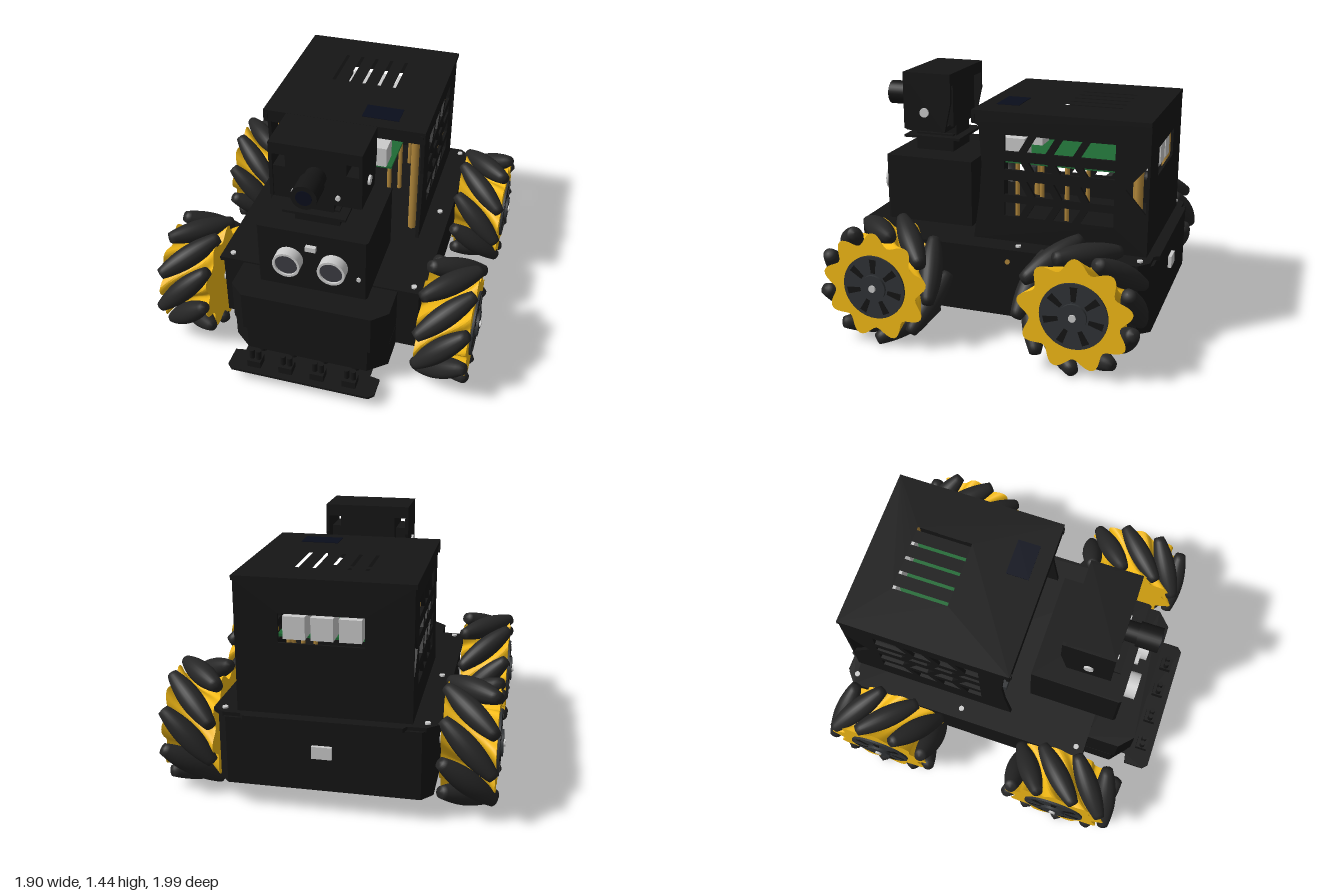
import * as THREE from 'three';
import { toCreasedNormals } from 'three/addons/utils/BufferGeometryUtils.js';

const mat = (color) => new THREE.MeshStandardMaterial({ color });
const black = mat(0x151515), rubber = mat(0x262626), hubGrey = mat(0x303336), yellow = mat(0xf5bb16);
const brass = mat(0xb0863a), green = mat(0x1f6b35), grey = mat(0xcccccc), glass = mat(0x3c3c42), navy = mat(0x0a0e1c);

function add(parent, name, geometry, material, x = 0, y = 0, z = 0) {
  const mesh = new THREE.Mesh(geometry, material);
  mesh.name = name;
  mesh.position.set(x, y, z);
  parent.add(mesh);
  return mesh;
}

// box given by its limits on each axis
function box(parent, name, material, [x0, x1], [y0, y1], [z0, z1]) {
  return add(parent, name, new THREE.BoxGeometry(x1 - x0, y1 - y0, z1 - z0), material,
    (x0 + x1) / 2, (y0 + y1) / 2, (z0 + z1) / 2);
}

// cylinder along 'x', 'y' or 'z', centred on the given point
function rod(parent, name, material, axis, r, length, x, y, z, sides = 32) {
  const g = new THREE.CylinderGeometry(r, r, length, sides);
  if (axis === 'x') g.rotateZ(Math.PI / 2);
  if (axis === 'z') g.rotateX(Math.PI / 2);
  return add(parent, name, g, material, x, y, z);
}

const outline = (pts) => new THREE.Shape(pts.map(([a, b]) => new THREE.Vector2(a, b)));
const hole = (pts) => new THREE.Path(pts.map(([a, b]) => new THREE.Vector2(a, b)));
const rect = (a0, a1, b0, b1) => [[a0, b0], [a1, b0], [a1, b1], [a0, b1]];

// extrude a (x, z) outline upward from y
function slab(parent, name, material, pts, y, height, holes = []) {
  const flip = (p) => p.map(([x, z]) => [x, -z]);
  const s = outline(flip(pts));
  s.holes = holes.map((h) => hole(flip(h)));
  const g = new THREE.ExtrudeGeometry(s, { depth: height, bevelEnabled: false }).rotateX(-Math.PI / 2);
  return add(parent, name, g, material, 0, y, 0);
}

// extrude a (z, y) outline sideways from x
function sidePlate(parent, name, material, pts, x, width, holes = []) {
  const flip = (p) => p.map(([z, y]) => [-z, y]);
  const s = outline(flip(pts));
  s.holes = holes.map((h) => hole(flip(h)));
  const g = new THREE.ExtrudeGeometry(s, { depth: width, bevelEnabled: false }).rotateY(Math.PI / 2);
  return add(parent, name, g, material, x, 0, 0);
}

// mirror half an outline across x = 0
const mirrored = (half) => [...half, ...half.map(([x, z]) => [-x, z]).reverse()];

// wheel with nine slanted rollers; hand = 1 or -1 sets the slant
function createWheel(hand) {
  const wheel = new THREE.Group();
  const count = 9, axisR = 0.29, outerR = 0.355, half = 0.145;

  // lobed rim, twisted between the rollers and narrowed at the waist
  const star = [];
  for (let i = 0; i < 108; i++) {
    const a = (i / 108) * Math.PI * 2;
    const r = 0.283 + 0.034 * Math.cos(count * (a - Math.PI / 2));
    star.push([r * Math.cos(a), r * Math.sin(a)]);
  }
  const rim = new THREE.ExtrudeGeometry(outline(star), { depth: half * 2, steps: 8, bevelEnabled: false });
  const p = rim.attributes.position;
  for (let i = 0; i < p.count; i++) {
    const d = p.getZ(i) - half;
    const a = Math.atan2(p.getY(i), p.getX(i)) - hand * (d - half) / axisR;
    const r = Math.hypot(p.getX(i), p.getY(i)) * (1 - 0.25 * (1 - (d / half) ** 2));
    p.setXYZ(i, r * Math.cos(a), r * Math.sin(a), d);
  }
  rim.rotateY(Math.PI / 2);
  add(wheel, 'rim', toCreasedNormals(rim, 0.7), yellow);

  // barrel rollers, shaped so the wheel rolls round
  const profile = [new THREE.Vector2(0, -0.205)];
  for (let i = 0; i <= 16; i++) {
    const t = -0.2 + 0.025 * i;
    profile.push(new THREE.Vector2(outerR - Math.hypot(axisR, t * Math.SQRT1_2), t));
  }
  profile.push(new THREE.Vector2(0, 0.205));
  const roller = new THREE.LatheGeometry(profile, 24);
  roller.rotateZ(-Math.PI / 2).rotateY(hand * Math.PI / 4).translate(0, axisR, 0);
  for (let i = 0; i < count; i++) {
    add(wheel, 'roller', roller, rubber).rotation.x = hand * 0.105 + (i / count) * Math.PI * 2;
  }

  // hub with radial slots
  rod(wheel, 'hubDisc', hubGrey, 'x', 0.185, 0.03, 0.142, 0, 0, 48);
  rod(wheel, 'hubCap', hubGrey, 'x', 0.075, 0.035, 0.155, 0, 0);
  rod(wheel, 'axleEnd', grey, 'x', 0.02, 0.05, 0.158, 0, 0);
  const slot = outline([[-0.012, 0.085], [0.012, 0.085], [0.02, 0.165], [-0.02, 0.165]]);
  const slotG = new THREE.ExtrudeGeometry(slot, { depth: 0.005, bevelEnabled: false }).rotateY(Math.PI / 2);
  for (let i = 0; i < 7; i++) add(wheel, 'hubSlot', slotG, black, 0.155).rotation.x = (i / 7) * Math.PI * 2;
  rod(wheel, 'axle', grey, 'x', 0.03, 0.12, -0.17, 0, 0);
  return wheel;
}

export function createModel() {
  const model = new THREE.Group();

  // wheels
  for (const [z, hand, end] of [[0.51, 1, 'front'], [-0.635, -1, 'rear']]) {
    for (const side of [1, -1]) {
      const wheel = createWheel(hand);
      wheel.name = end + (side > 0 ? 'LeftWheel' : 'RightWheel');
      wheel.position.set(side * 0.765, 0.363, z);
      if (side < 0) wheel.rotation.y = Math.PI;
      model.add(wheel);
    }
  }

  // chassis
  slab(model, 'chassis', black, mirrored([[0.59, 0.58], [0.59, -0.9], [0.53, -0.97]]), 0.15, 0.39);
  slab(model, 'deck', black, mirrored([[0.615, 0.58], [0.615, -0.9], [0.55, -0.955], [0.45, -0.955], [0.43, -0.985]]), 0.535, 0.025);
  slab(model, 'bumperLower', black, mirrored([[0.465, 0.57], [0.465, 0.75], [0.36, 0.84]]), 0.14, 0.155);
  slab(model, 'bumperUpper', black, mirrored([[0.465, 0.57], [0.465, 0.77], [0.38, 0.85]]), 0.3, 0.25);
  box(model, 'rearPort', grey, [-0.055, 0.055], [0.345, 0.415], [-0.99, -0.96]);
  for (const x of [-0.55, 0.55]) {
    for (const z of [-0.9, -0.21, 0.53]) rod(model, 'deckScrew', grey, 'y', 0.016, 0.02, x, 0.56, z, 16);
    rod(model, 'sideScrew', brass, 'x', 0.014, 0.02, Math.sign(x) * 0.59, 0.48, -0.16, 16);
  }

  // line sensor bar under the nose
  slab(model, 'sensorBoard', black, mirrored([[0.38, 0.72], [0.38, 0.84], [0.44, 0.85], [0.44, 0.97], [0.41, 1]]), 0.09, 0.014);
  for (const x of [-0.285, -0.095, 0.095, 0.285]) {
    box(model, 'lineSensor', black, [x - 0.04, x + 0.04], [0.1, 0.15], [0.89, 0.96]);
    for (const s of [-0.02, 0.02]) rod(model, 'sensorDiode', black, 'y', 0.016, 0.06, x + s, 0.18, 0.925, 12);
    rod(model, 'boardStandoff', black, 'y', 0.025, 0.06, x, 0.125, 0.8, 12);
  }

  // front box with twin distance sensor
  slab(model, 'frontBox', black, mirrored([[0.32, 0.16], [0.32, 0.69], [0.31, 0.705]]), 0.56, 0.395);
  for (const x of [-0.13, 0.13]) {
    const ring = [[0.066, 0], [0.066, 0.072], [0.08, 0.072], [0.08, 0]].map(([r, h]) => new THREE.Vector2(r, h));
    const ringG = toCreasedNormals(new THREE.LatheGeometry(ring, 40).rotateX(Math.PI / 2), 0.6);
    const casing = grey.clone();
    casing.side = THREE.DoubleSide;
    add(model, 'distanceSensorRing', ringG, casing, x, 0.76, 0.7);
    rod(model, 'distanceSensorMesh', glass, 'z', 0.067, 0.06, x, 0.76, 0.73);
  }
  box(model, 'sensorCrystal', grey, [-0.03, 0.03], [0.85, 0.88], [0.7, 0.73]);
  rod(model, 'frontScrew', grey, 'z', 0.013, 0.02, 0.272, 0.7, 0.705, 16);

  // neck and camera head
  box(model, 'neckLower', black, [-0.13, 0.13], [0.95, 1.06], [0.35, 0.59]);
  box(model, 'turntable', black, [-0.18, 0.18], [1.035, 1.05], [0.29, 0.65]);
  box(model, 'neckUpper', black, [-0.1, 0.1], [1.05, 1.13], [0.34, 0.6]);
  box(model, 'cameraBase', black, [-0.25, 0.25], [1.1, 1.13], [0.35, 0.6]);
  const hood = [[0.61, 1.11], [0.61, 1.45], [0.31, 1.45], [0.31, 1.28], [0.35, 1.1]];
  for (const s of [-1, 1]) {
    sidePlate(model, 'hoodSide', black, hood, s * 0.25 - 0.01, 0.02);
    rod(model, 'hoodBolt', grey, 'x', 0.028, 0.02, s * 0.262, 1.215, 0.475, 20);
    rod(model, 'cameraScrew', grey, 'z', 0.014, 0.02, s * 0.125, 1.155, 0.605, 16);
  }
  box(model, 'hoodTop', black, [-0.26, 0.26], [1.38, 1.45], [0.31, 0.61]);
  box(model, 'cameraBody', black, [-0.17, 0.17], [1.12, 1.39], [0.33, 0.6]);
  box(model, 'cameraFace', black, [-0.24, 0.24], [1.12, 1.3], [0.4, 0.6]);
  rod(model, 'lensNeck', black, 'z', 0.06, 0.12, 0, 1.27, 0.65);
  rod(model, 'lensBarrel', black, 'z', 0.072, 0.13, 0, 1.27, 0.74);
  rod(model, 'lensGlass', navy, 'z', 0.045, 0.01, 0, 1.27, 0.803);

  // rear housing: roof with vents
  const vents = [-0.19, -0.095, 0, 0.095, 0.19].map((x) => rect(x - 0.01, x + 0.01, -0.7, -0.37));
  slab(model, 'roof', black, rect(-0.485, 0.485, -0.92, 0.09), 1.285, 0.025, vents);
  box(model, 'roofFrontLip', black, [-0.485, 0.485], [1.235, 1.29], [0.07, 0.09]);
  box(model, 'roofScreen', navy, [0.09, 0.31], [1.305, 1.313], [-0.13, 0.005]);

  // side walls with slanted window rows and a rear notch
  const wall = [[0.085, 0.56], [0.05, 0.8], [0.035, 1.0], [0.05, 1.22], [0.095, 1.24], [0.095, 1.29],
    [-0.92, 1.29], [-0.92, 1.08], [-0.79, 0.93], [-0.92, 0.78], [-0.92, 0.56]];
  const windows = [];
  for (const [y0, y1, slant] of [[1.085, 1.18, -1], [0.98, 1.03, 1], [0.835, 0.92, 1], [0.71, 0.79, -1]]) {
    const lean = slant * (y1 - y0) * 0.6;
    const clampZ = (z) => Math.min(-0.1, Math.max(-0.73, z));
    for (let i = 0; i < 4; i++) {
      const a = i === 0 ? -0.04 : -0.1 - i * 0.155, b = i === 3 ? -0.79 : -0.21 - i * 0.155;
      windows.push([[clampZ(a - lean / 2), y0], [clampZ(b - lean / 2), y0],
        [clampZ(b + lean / 2), y1], [clampZ(a + lean / 2), y1]]);
    }
  }
  for (const x of [-0.475, 0.455]) sidePlate(model, 'sideWall', black, wall, x, 0.02, windows);

  // rear wall with a port opening
  const rear = outline(rect(-0.475, 0.475, 0.56, 1.29));
  rear.holes.push(hole(rect(-0.22, 0.24, 0.96, 1.12)));
  add(model, 'rearWall', new THREE.ExtrudeGeometry(rear, { depth: 0.015, bevelEnabled: false }), black, 0, 0, -0.92);

  // circuit board, ports and brass posts inside
  box(model, 'circuitBoard', green, [-0.27, 0.27], [0.96, 0.975], [-0.82, -0.02]);
  for (const s of [-1, 1]) {
    box(model, 'frontPort', grey, [s * 0.175 - 0.065, s * 0.175 + 0.065], [0.975, 1.1], [-0.14, -0.01]);
    for (const z of [-0.02, -0.85]) rod(model, 'post', brass, 'y', 0.025, 0.73, s * 0.41, 0.92, z, 6);
    for (const z of [-0.1, -0.4, -0.7]) rod(model, 'boardPost', brass, 'y', 0.014, 0.4, s * 0.24, 0.76, z, 6);
  }
  for (const x of [-0.14, 0.01, 0.16]) box(model, 'rearSocket', grey, [x - 0.06, x + 0.06], [0.975, 1.1], [-0.9, -0.74]);
  box(model, 'sideSwitch', hubGrey, [-0.39, -0.345], [0.7, 0.76], [-0.02, 0.03]);

  return model;
}
